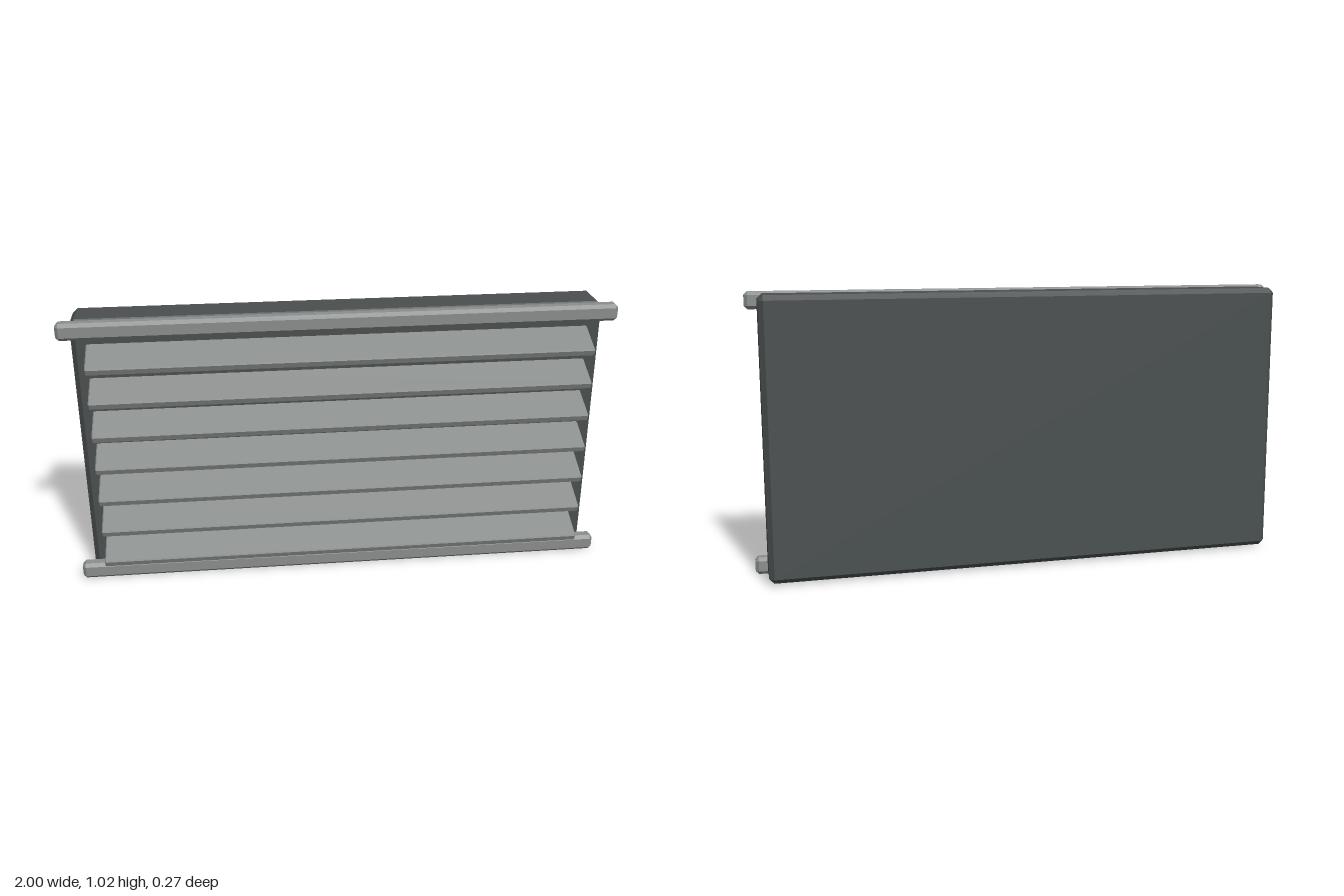
import * as THREE from 'three';
import { ConvexGeometry } from 'three/addons/geometries/ConvexGeometry.js';

// Box with a flat chamfer of size c on every edge
function chamferBox(w, h, d, c) {
  const x = w / 2, y = h / 2, z = d / 2;
  const points = [];
  for (const sx of [-1, 1]) for (const sy of [-1, 1]) for (const sz of [-1, 1]) {
    points.push(
      new THREE.Vector3(sx * x, sy * (y - c), sz * (z - c)),
      new THREE.Vector3(sx * (x - c), sy * y, sz * (z - c)),
      new THREE.Vector3(sx * (x - c), sy * (y - c), sz * z));
  }
  return new ConvexGeometry(points);
}

export function createModel() {
  const group = new THREE.Group();
  const darkMetal = new THREE.MeshStandardMaterial({ name: 'darkMetal', color: 0x4a4f50 });
  const greyMetal = new THREE.MeshStandardMaterial({ name: 'greyMetal', color: 0x8a8e8c });

  const add = (name, geometry, material, y, z) => {
    const mesh = new THREE.Mesh(geometry, material);
    mesh.name = name;
    mesh.position.set(0, y, z);
    group.add(mesh);
    return mesh;
  };

  // Backing panel
  add('panel', chamferBox(1.915, 1.012, 0.158, 0.018), darkMetal, 0.514, -0.059);

  // Rails along the top and bottom of the front
  const rail = chamferBox(2, 0.062, 0.052, 0.012);
  add('bottomRail', rail, greyMetal, 0.031, 0.047);
  add('topRail', rail, greyMetal, 0.994, 0.047);

  // Louvre slats, sloping down towards the front and sunk into the panel
  const tilt = 0.41, depth = 0.16;
  const slat = chamferBox(1.81, 0.03, depth, 0.004);
  for (let i = 0; i < 7; i++) {
    const tipY = 0.096 + i * 0.1285, tipZ = 0.132;
    const mesh = add('slat' + (i + 1), slat, greyMetal,
      tipY + Math.sin(tilt) * depth / 2, tipZ - Math.cos(tilt) * depth / 2);
    mesh.rotation.x = tilt;
  }
  return group;
}
